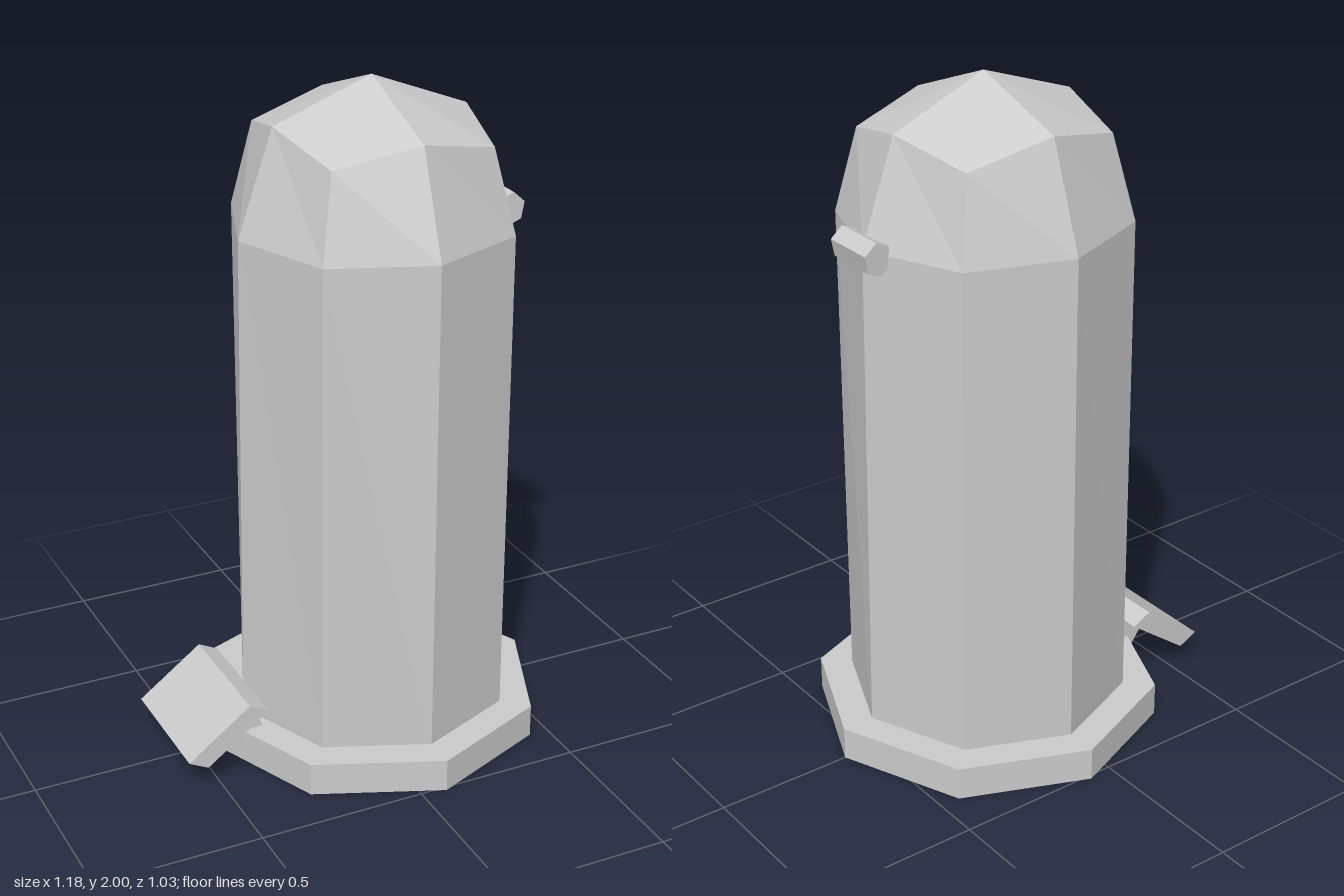
import * as THREE from 'three';

const CX = 0.075; // axis of the bin
const mat = new THREE.MeshStandardMaterial({ color: 0xcccccc, flatShading: true });

function add(group, name, geometry) {
  const mesh = new THREE.Mesh(geometry, mat);
  mesh.name = name;
  group.add(mesh);
  return mesh;
}

// Prism with an x/y outline, running from z0 to z1
function prism(points, z0, z1) {
  const shape = new THREE.Shape(points.map(([x, y]) => new THREE.Vector2(x, y)));
  const g = new THREE.ExtrudeGeometry(shape, { depth: z1 - z0, bevelEnabled: false });
  return g.translate(0, 0, z0);
}

// Eight-sided ring; the axis corners and diagonal corners may differ
function ring(turn, axis, diagonal) {
  return Array.from({ length: 8 }, (_, i) => {
    const [r, y, tilt] = i % 2 ? diagonal : axis;
    const a = (i * Math.PI) / 4 - turn;
    const x = r * Math.cos(a), z = r * Math.sin(a);
    return [CX + x, y - tilt * (x + z), z];
  });
}

function quads(list) {
  const pos = [];
  for (const [a, b, c, d] of list) pos.push(...a, ...b, ...c, ...a, ...c, ...d);
  const g = new THREE.BufferGeometry();
  g.setAttribute('position', new THREE.Float32BufferAttribute(pos, 3));
  g.computeVertexNormals();
  return g;
}

const band = (low, high) => low.map((p, i) => {
  const j = (i + 1) % 8;
  return [p, high[i], high[j], low[j]];
});

export function createModel() {
  const bin = new THREE.Group();
  bin.name = 'pedalBin';

  // Octagonal foot plate, corners on the axes
  const base = new THREE.CylinderGeometry(0.515, 0.515, 0.1, 8);
  add(bin, 'base', base).position.set(CX, 0.05, 0);

  // Slightly tapered body
  const bottom = ring(0, [0.417, 0.09, 0], [0.417, 0.09, 0]);
  const rim = ring(0.022, [0.407, 1.583, 0.006], [0.417, 1.583, 0.006]);
  add(bin, 'body', quads(band(bottom, rim)));

  // Domed lid: sloping band and four top facets
  const shoulder = ring(0.026, [0.3, 1.887, 0.02], [0.35, 1.832, 0.01]);
  const peak = [CX, 2, 0];
  const caps = [0, 2, 4, 6].map((i) => [peak, shoulder[(i + 2) % 8], shoulder[i + 1], shoulder[i]]);
  add(bin, 'lid', quads([...band(rim, shoulder), ...caps]));

  // Six-sided lid handle
  add(bin, 'lidHandle', prism([
    [0.487, 1.627], [0.523, 1.595], [0.513, 1.545],
    [0.476, 1.53], [0.443, 1.557], [0.448, 1.61],
  ], -0.085, 0.08));

  // Sloping foot pedal and the bracket beneath it
  add(bin, 'pedal', prism([
    [-0.595, 0.09], [-0.536, 0.06], [-0.343, 0.202], [-0.402, 0.232],
  ], -0.197, 0.194));
  add(bin, 'pedalBracket', prism([
    [-0.455, 0.12], [-0.4, 0.045], [-0.323, 0.095], [-0.385, 0.172],
  ], -0.1, 0.11));

  return bin;
}
